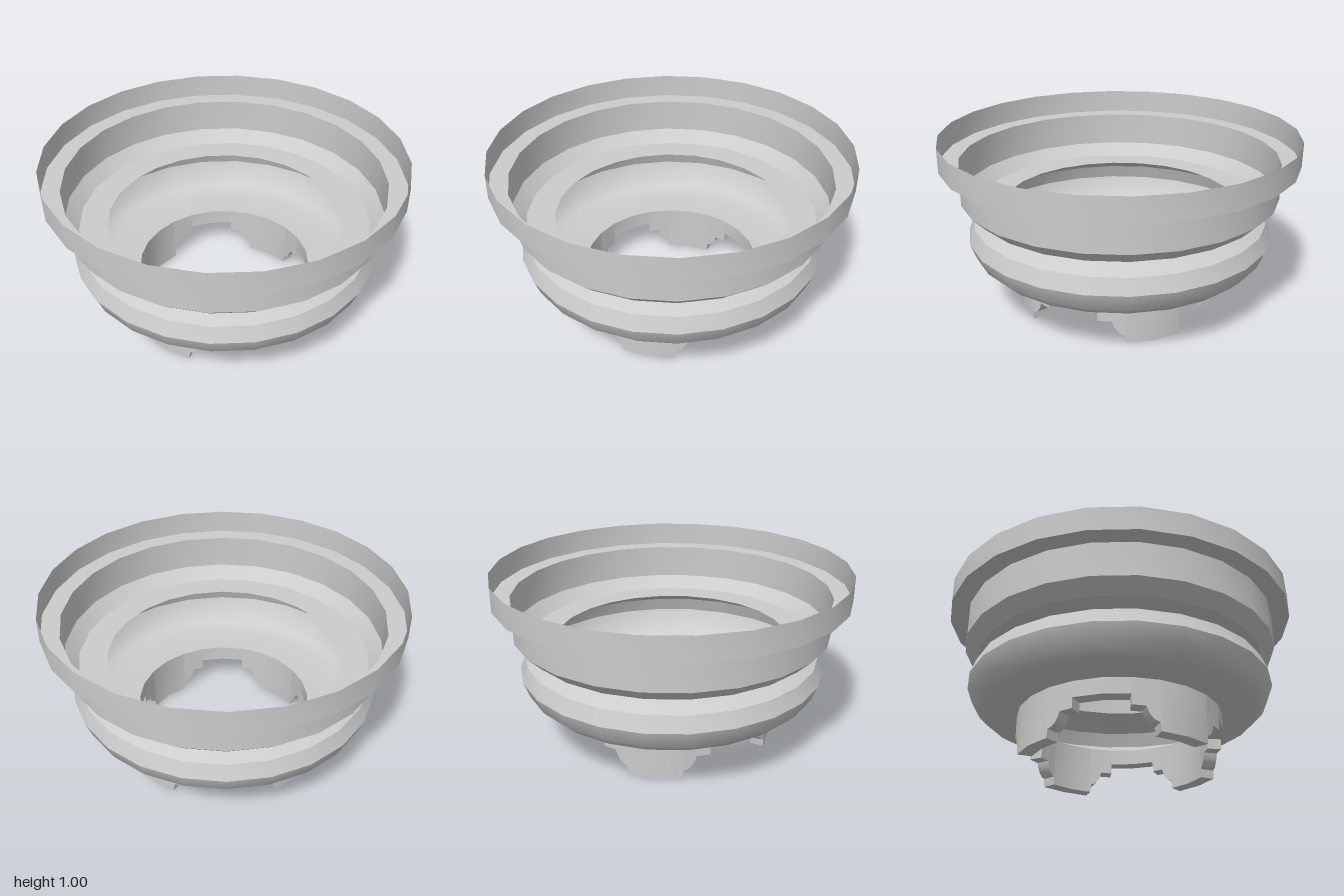
import * as THREE from 'three';
import { toCreasedNormals } from 'three/addons/utils/BufferGeometryUtils.js';

const SIDES = 24;
const STEP = (Math.PI * 2) / SIDES;
const NECK_TOP = 0.277;
const rad = THREE.MathUtils.degToRad;

// Point on a 24-sided ring, kept on the flat between its corners
function ringPoint(radius, angle, y) {
  const offset = angle - (Math.floor(angle / STEP + 1e-6) + 0.5) * STEP;
  const r = (radius * Math.cos(STEP / 2)) / Math.cos(offset);
  return [r * Math.sin(angle), y, r * Math.cos(angle)];
}

// Lower edge of the neck: four stepped notches centred on the diagonals
function neckEdge() {
  const half = [[30, 0], [29.5, 0.048], [27, 0.056], [25, 0.075], [23.4, 0.1],
    [22.5, 0.128], [15, 0.128], [15, 0.187]];
  const notch = [
    ...half.map(([a, y]) => [45 - a, y]),
    [45, 0.187],
    ...half.slice().reverse().map(([a, y]) => [45 + a, y]),
  ];
  const edge = [];
  for (let q = 0; q < 4; q++) {
    edge.push([q * 90, 0]);
    for (const [a, y] of notch) edge.push([q * 90 + a, y]);
  }
  edge.push([360, 0]);
  return edge.map(([a, y]) => [rad(a), y]);
}

// Thick ring wall whose lower edge follows the notches
function neckGeometry(outer, inner) {
  const edge = neckEdge();
  const positions = [];
  const quad = (a, b, c, d) => positions.push(...a, ...b, ...c, ...a, ...c, ...d);
  for (let i = 0; i < edge.length - 1; i++) {
    const [a0, y0] = edge[i];
    const [a1, y1] = edge[i + 1];
    const o0 = ringPoint(outer, a0, y0), o1 = ringPoint(outer, a1, y1);
    const n0 = ringPoint(inner, a0, y0), n1 = ringPoint(inner, a1, y1);
    if (a1 - a0 > 1e-5) {
      quad(o0, o1, ringPoint(outer, a1, NECK_TOP), ringPoint(outer, a0, NECK_TOP));
      quad(n1, n0, ringPoint(inner, a0, NECK_TOP), ringPoint(inner, a1, NECK_TOP));
    }
    quad(n0, n1, o1, o0);
  }
  const geometry = new THREE.BufferGeometry();
  geometry.setAttribute('position', new THREE.Float32BufferAttribute(positions, 3));
  return toCreasedNormals(geometry, 0.5);
}

export function createModel() {
  const group = new THREE.Group();
  const grey = new THREE.MeshStandardMaterial({ color: 0xcccccc, side: THREE.DoubleSide });
  grey.name = 'light grey';

  const add = (name, geometry) => {
    const mesh = new THREE.Mesh(geometry, grey);
    mesh.name = name;
    group.add(mesh);
  };
  const lathe = (points) => toCreasedNormals(
    new THREE.LatheGeometry(points.map(([r, y]) => new THREE.Vector2(r, y)), SIDES), 0.65);

  // Notched collar at the base
  add('neck', neckGeometry(0.58, 0.5));

  // Hollow rounded bulge with its floor
  add('bulge', lathe([[0.5, NECK_TOP], [0.69, NECK_TOP], [0.78, 0.295], [0.835, 0.35],
    [0.867, 0.435], [0.835, 0.52], [0.74, 0.577], [0.665, 0.6]]));

  // Thin open bowl: flat seat, bevel and upright wall
  add('bowl', lathe([[0.665, 0.6], [0.825, 0.6], [0.897, 0.67], [0.897, 0.865]]));

  // Ledge and upright outer rim
  add('rim', lathe([[0.897, 0.865], [1, 0.865], [1, 1]]));

  return group;
}
